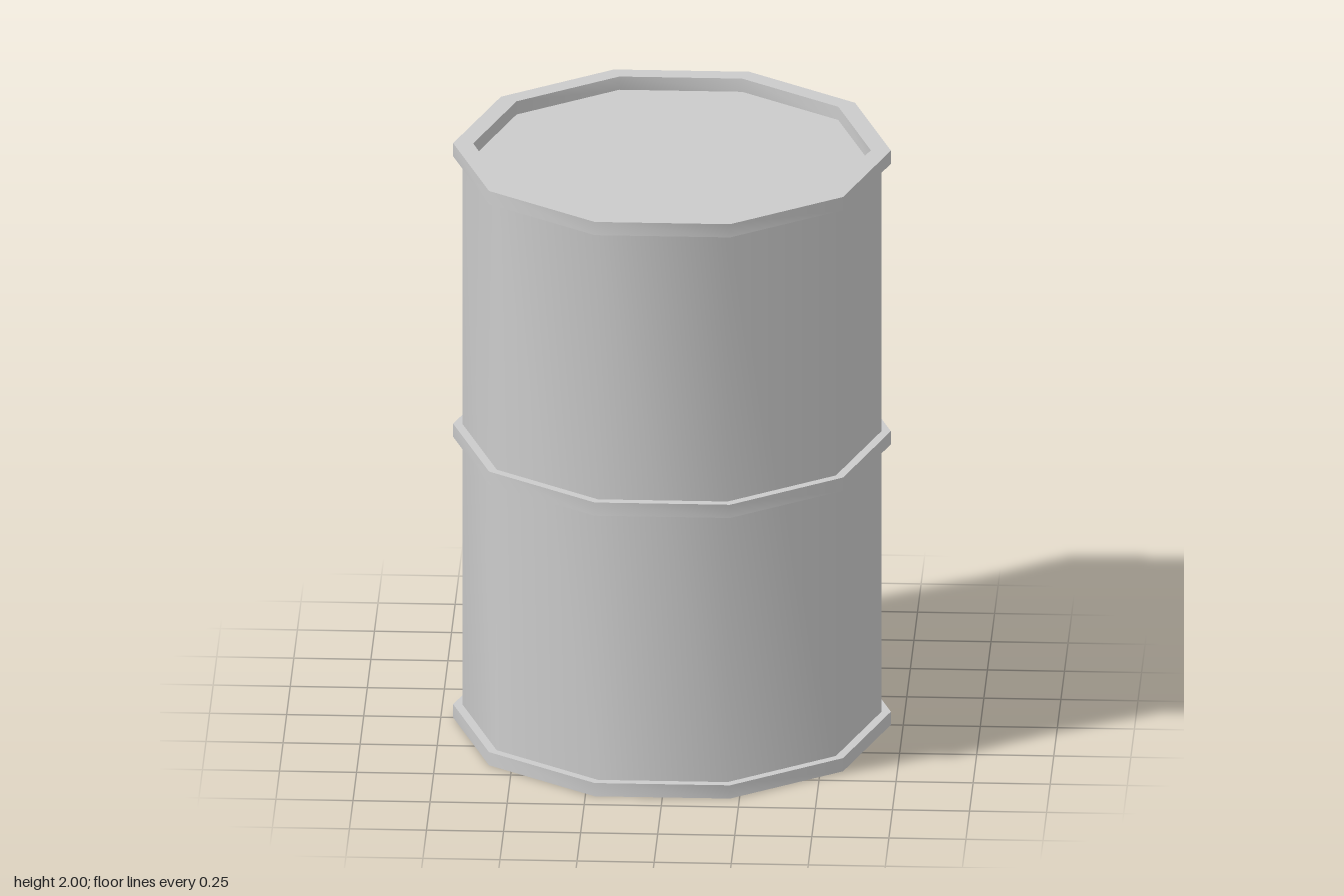
import * as THREE from 'three';
import { toCreasedNormals } from 'three/addons/utils/BufferGeometryUtils.js';

const SIDES = 10;
const BODY_R = 0.68, HOOP_R = 0.71, INNER_R = 0.645, HOOP_H = 0.046;

export function createModel() {
  const barrel = new THREE.Group();
  barrel.name = 'barrel';
  const material = new THREE.MeshStandardMaterial({ color: 0xcccccc });

  // Ten-sided turned part: smooth around, sharp along the profile
  function turned(name, profile) {
    const points = profile.map(([r, y]) => new THREE.Vector2(r, y));
    const lathe = new THREE.LatheGeometry(points, SIDES, Math.PI / 2);
    const mesh = new THREE.Mesh(toCreasedNormals(lathe, THREE.MathUtils.degToRad(40)), material);
    mesh.name = name;
    barrel.add(mesh);
  }

  // Square-section ring
  function hoop(name, innerR, y0, y1) {
    turned(name, [[innerR, y0], [HOOP_R, y0], [HOOP_R, y1], [innerR, y1], [innerR, y0]]);
  }

  // Drum wall with its recessed base and lid
  turned('body', [[0, HOOP_H], [BODY_R, HOOP_H], [BODY_R, 2 - HOOP_H], [0, 2 - HOOP_H]]);

  // Raised end rims and the middle band
  hoop('bottomRim', INNER_R, 0, HOOP_H);
  hoop('middleHoop', BODY_R, 1 - HOOP_H / 2, 1 + HOOP_H / 2);
  hoop('topRim', INNER_R, 2 - HOOP_H, 2);

  return barrel;
}
